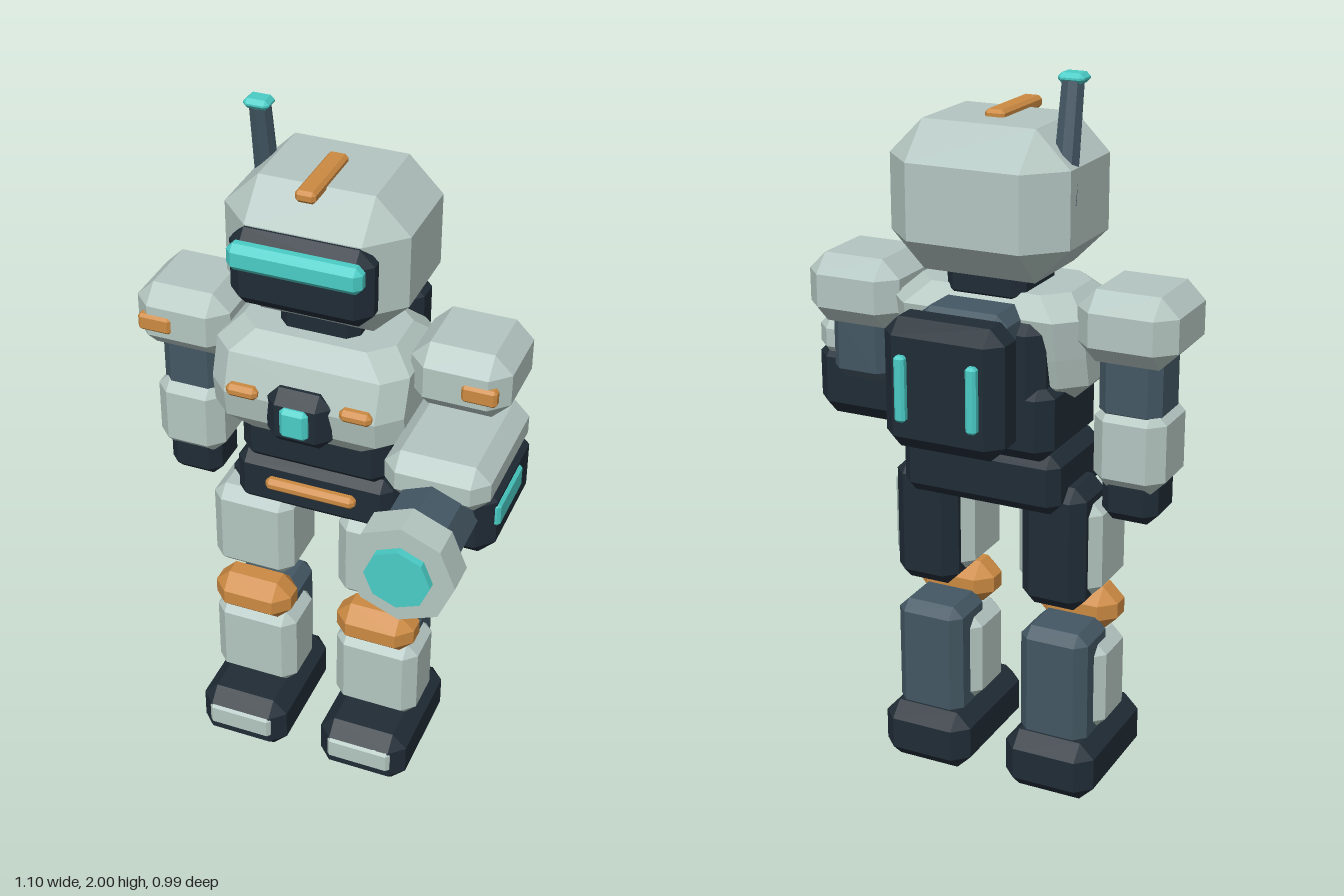
import * as THREE from 'three';
import { ConvexGeometry } from 'three/addons/geometries/ConvexGeometry.js';

const mat = (name, color) => {
  const m = new THREE.MeshStandardMaterial({ color });
  m.name = name;
  return m;
};

export function createModel() {
  const shell = mat('pale shell', 0xb4c6c1);
  const dark = mat('dark frame', 0x202c36);
  const steel = mat('blue steel', 0x435763);
  const orange = mat('orange', 0xcc8a42);
  const cyan = mat('cyan light', 0x4accc6);

  const model = new THREE.Group();
  model.name = 'robot';
  const MID = -0.02; // symmetry plane of the body

  const add = (parent, name, geometry, material) => {
    const mesh = new THREE.Mesh(geometry, material);
    mesh.name = name;
    parent.add(mesh);
    return mesh;
  };
  const group = (name) => {
    const g = new THREE.Group();
    g.name = name;
    model.add(g);
    return g;
  };

  // Box with chamfered edges, given by its x, y and z ranges
  const block = (parent, name, material, [x0, x1], [y0, y1], [z0, z1], c) => {
    const half = new THREE.Vector3(x1 - x0, y1 - y0, z1 - z0).multiplyScalar(0.5);
    const pts = [];
    for (const sx of [-1, 1]) for (const sy of [-1, 1]) for (const sz of [-1, 1]) {
      for (const axis of [0, 1, 2]) {
        const cut = [c, c, c];
        cut[axis] = 0;
        pts.push(new THREE.Vector3(sx * (half.x - cut[0]), sy * (half.y - cut[1]), sz * (half.z - cut[2])));
      }
    }
    const mesh = add(parent, name, new ConvexGeometry(pts), material);
    mesh.position.set((x0 + x1) / 2, (y0 + y1) / 2, (z0 + z1) / 2);
    return mesh;
  };
  // Block centred on the body, given by its half width
  const midBlock = (parent, name, material, w, y, z, c) =>
    block(parent, name, material, [MID - w, MID + w], y, z, c);
  // Block at a distance from the body's middle, on side s
  const sideBlock = (parent, name, material, s, d, w, y, z, c) =>
    block(parent, name, material, [MID + s * d - w, MID + s * d + w], y, z, c);

  // Head, visor, crest and antenna
  const head = group('head');
  midBlock(head, 'skull', shell, 0.252, [1.48, 1.87], [-0.338, 0.092], 0.095);
  midBlock(head, 'visor', dark, 0.195, [1.553, 1.772], [0.03, 0.138], 0.04);
  midBlock(head, 'visorLight', cyan, 0.182, [1.675, 1.75], [0.11, 0.165], 0.018);
  midBlock(head, 'crest', orange, 0.028, [1.855, 1.888], [-0.158, 0.077], 0.009);
  const antenna = add(head, 'antenna', new THREE.CylinderGeometry(0.03, 0.035, 0.3, 8).toNonIndexed(), steel);
  antenna.geometry.computeVertexNormals();
  antenna.position.set(-0.238, 1.83, -0.185);
  antenna.rotation.x = 0.17;
  block(head, 'antennaTip', cyan, [-0.274, -0.203], [1.973, 2], [-0.185, -0.125], 0.011);
  midBlock(head, 'neck', dark, 0.113, [1.4, 1.53], [-0.23, 0], 0.03);

  // Chest: stacked sections as [y, half width, back, front]
  const torso = group('torso');
  const sections = [
    [1.145, 0.215, -0.18, 0.07],
    [1.2, 0.272, -0.22, 0.115],
    [1.28, 0.272, -0.24, 0.128],
    [1.385, 0.272, -0.26, 0.09],
    [1.44, 0.215, -0.21, 0.04],
  ];
  const chestPoints = [];
  for (const [y, w, back, front] of sections) for (const s of [-1, 1]) {
    chestPoints.push(
      new THREE.Vector3(MID + s * w, y, back + 0.06), new THREE.Vector3(MID + s * (w - 0.06), y, back),
      new THREE.Vector3(MID + s * w, y, front - 0.06), new THREE.Vector3(MID + s * (w - 0.06), y, front));
  }
  add(torso, 'chest', new ConvexGeometry(chestPoints), shell);
  midBlock(torso, 'coreFrame', dark, 0.092, [1.162, 1.33], [0.06, 0.155], 0.035);
  midBlock(torso, 'coreLight', cyan, 0.04, [1.205, 1.295], [0.13, 0.172], 0.012);
  for (const s of [-1, 1]) {
    sideBlock(torso, 'chestMark', orange, s, 0.16, 0.045, [1.275, 1.312], [0.1, 0.142], 0.012);
  }
  midBlock(torso, 'abdomen', dark, 0.215, [1.0, 1.22], [-0.285, 0.045], 0.04);
  midBlock(torso, 'pelvis', dark, 0.23, [0.855, 1.02], [-0.265, 0.04], 0.03);
  midBlock(torso, 'belt', orange, 0.132, [0.928, 0.965], [0.02, 0.065], 0.012);

  // Backpack
  const pack = group('backpack');
  midBlock(pack, 'backPlate', dark, 0.19, [1.08, 1.39], [-0.285, -0.15], 0.04);
  midBlock(pack, 'packMount', steel, 0.125, [1.08, 1.415], [-0.365, -0.2], 0.03);
  midBlock(pack, 'packBody', dark, 0.168, [1.065, 1.412], [-0.477, -0.335], 0.04);
  for (const s of [-1, 1]) {
    sideBlock(pack, 'packLight', cyan, s, 0.1, 0.015, [1.15, 1.325], [-0.497, -0.465], 0.007);
  }

  // Legs
  for (const s of [-1, 1]) {
    const leg = group(s > 0 ? 'leftLeg' : 'rightLeg');
    const part = (name, material, w, y, z, c) => sideBlock(leg, name, material, s, 0.19, w, y, z, c);
    part('thighFrame', dark, 0.093, [0.565, 0.92], [-0.222, -0.035], 0.035);
    part('thighArmor', shell, 0.122, [0.595, 0.872], [-0.18, 0.04], 0.035);
    part('knee', orange, 0.118, [0.436, 0.565], [-0.065, 0.07], 0.043);
    part('shinFrame', steel, 0.1, [0.15, 0.49], [-0.21, -0.03], 0.03);
    part('shinArmor', shell, 0.126, [0.175, 0.445], [-0.148, 0.04], 0.035);
    part('foot', dark, 0.134, [0, 0.175], [-0.25, 0.15], 0.042);
    part('toePlate', shell, 0.098, [0.06, 0.135], [0.13, 0.158], 0.01);
  }

  // Shoulders and upper arms
  for (const s of [-1, 1]) {
    const arm = group(s > 0 ? 'leftShoulder' : 'rightShoulder');
    sideBlock(arm, 'shoulderArmor', shell, s, 0.393, 0.137, [1.285, 1.475], [-0.252, 0.03], 0.05);
    sideBlock(arm, 'shoulderMark', orange, s, 0.458, 0.048, [1.35, 1.4], [0.005, 0.038], 0.008);
    sideBlock(arm, 'upperArm', steel, s, 0.393, 0.087, [1.12, 1.33], [-0.2, -0.03], 0.03);
  }

  // Right forearm and fist
  const forearm = group('rightForearm');
  block(forearm, 'forearmArmor', shell, [-0.515, -0.315], [0.935, 1.17], [-0.215, -0.005], 0.04);
  block(forearm, 'fist', dark, [-0.492, -0.335], [0.843, 0.99], [-0.19, -0.03], 0.03);

  // Left forearm cannon
  const cannon = group('armCannon');
  block(cannon, 'cannonHousing', dark, [0.26, 0.543], [0.985, 1.205], [-0.155, 0.205], 0.045);
  block(cannon, 'cannonArmor', shell, [0.25, 0.535], [1.15, 1.285], [-0.16, 0.245], 0.042);
  block(cannon, 'cannonSideLight', cyan, [0.525, 0.552], [1.083, 1.152], [-0.032, 0.165], 0.008);
  const tube = (name, material, r, z0, z1) => {
    const g = new THREE.CylinderGeometry(r, r, z1 - z0, 8).rotateX(Math.PI / 2).toNonIndexed();
    g.computeVertexNormals();
    add(cannon, name, g, material).position.set(0.393, 1.117, (z0 + z1) / 2);
  };
  tube('barrel', steel, 0.111, 0.1, 0.4);
  tube('muzzle', shell, 0.144, 0.385, 0.475);
  tube('muzzleLight', cyan, 0.087, 0.45, 0.496);

  return model;
}
